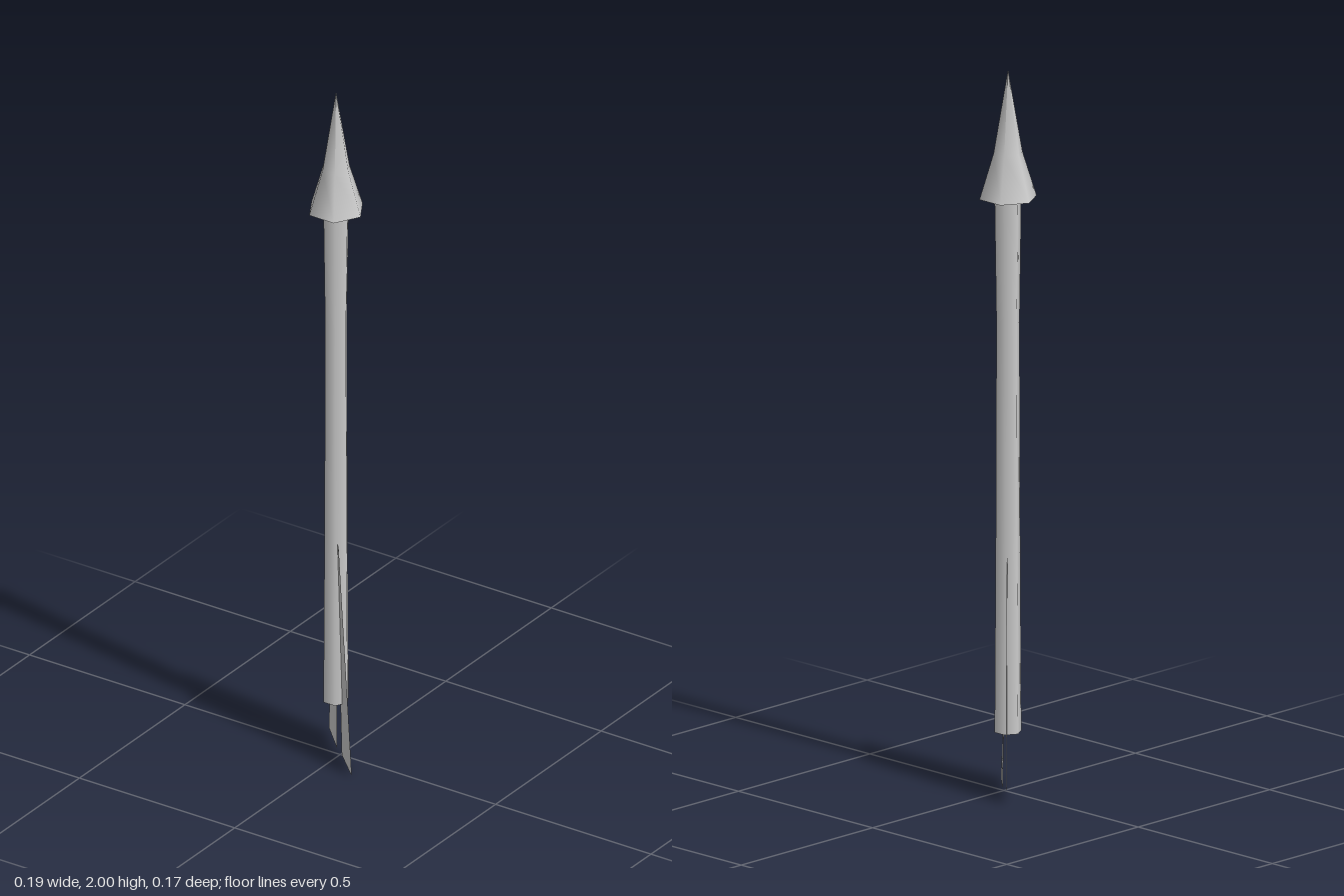
import * as THREE from 'three';

const material = new THREE.MeshStandardMaterial({ color: 0xcccccc });
const sheet = new THREE.MeshStandardMaterial({ color: 0xcccccc, side: THREE.DoubleSide });
const AXIS_X = -0.011, AXIS_Z = 0.004;

// Six-sided turned part with smooth sides and sharp flat end caps
function hexPart(name, profile) {
  const part = new THREE.Group();
  part.name = name;
  const points = profile.map(([r, y]) => new THREE.Vector2(r, y));
  part.add(new THREE.Mesh(new THREE.LatheGeometry(points, 6, Math.PI / 2), material));
  const ends = [[profile[0], Math.PI / 2], [profile[profile.length - 1], -Math.PI / 2]];
  for (const [[r, y], turn] of ends) {
    if (r === 0) continue;
    const cap = new THREE.Mesh(new THREE.CircleGeometry(r, 6).rotateX(turn), material);
    cap.position.y = y;
    part.add(cap);
  }
  part.position.set(AXIS_X, 0, AXIS_Z);
  return part;
}

// Thin twisted vane: inner edge is a line, outer edge a curve, both from bottom to top
function vane(name, innerBottom, innerTop, outer) {
  const a = new THREE.Vector3(...innerBottom), b = new THREE.Vector3(...innerTop);
  const [p, q, r] = outer.map((v) => new THREE.Vector3(...v));
  const edge = new THREE.QuadraticBezierCurve3(p, q, r);
  const rows = 8, cols = 3, positions = [], index = [];
  for (let i = 0; i <= rows; i++) {
    const inside = a.clone().lerp(b, i / rows), outside = edge.getPoint(i / rows);
    for (let j = 0; j <= cols; j++) {
      positions.push(...inside.clone().lerp(outside, j / cols).toArray());
      if (i === rows || j === cols) continue;
      const k = i * (cols + 1) + j, up = k + cols + 1;
      index.push(k, k + 1, up, k + 1, up + 1, up);
    }
  }
  const geometry = new THREE.BufferGeometry();
  geometry.setAttribute('position', new THREE.Float32BufferAttribute(positions, 3));
  geometry.setIndex(index);
  geometry.computeVertexNormals();
  const mesh = new THREE.Mesh(geometry, sheet);
  mesh.name = name;
  return mesh;
}

export function createModel() {
  const arrow = new THREE.Group();
  arrow.name = 'arrow';

  // Shaft, slightly waisted between its ends
  arrow.add(hexPart('shaft', [[0.037, 0.165], [0.034, 0.66], [0.032, 1.3], [0.037, 1.65]]));

  // Pointed head with gently concave sides
  arrow.add(hexPart('head', [[0.079, 1.645], [0.04, 1.77], [0, 2]]));

  // Two vanes on opposite sides of the tail
  arrow.add(vane('leftVane', [0.005, 0.005, 0], [-0.01, 0.665, 0.004],
    [[0.094, 0.005, 0.084], [0.067, 0.335, 0.075], [0.04, 0.665, 0.066]]));
  arrow.add(vane('rightVane', [-0.01, 0.015, 0], [-0.012, 0.66, 0.003],
    [[-0.096, 0.015, -0.087], [-0.075, 0.34, -0.072], [-0.057, 0.66, -0.047]]));

  // Rest the lowest tip on the ground
  arrow.children.forEach((part) => { if (part.name === 'leftVane') part.position.y = -0.005; });
  return arrow;
}
